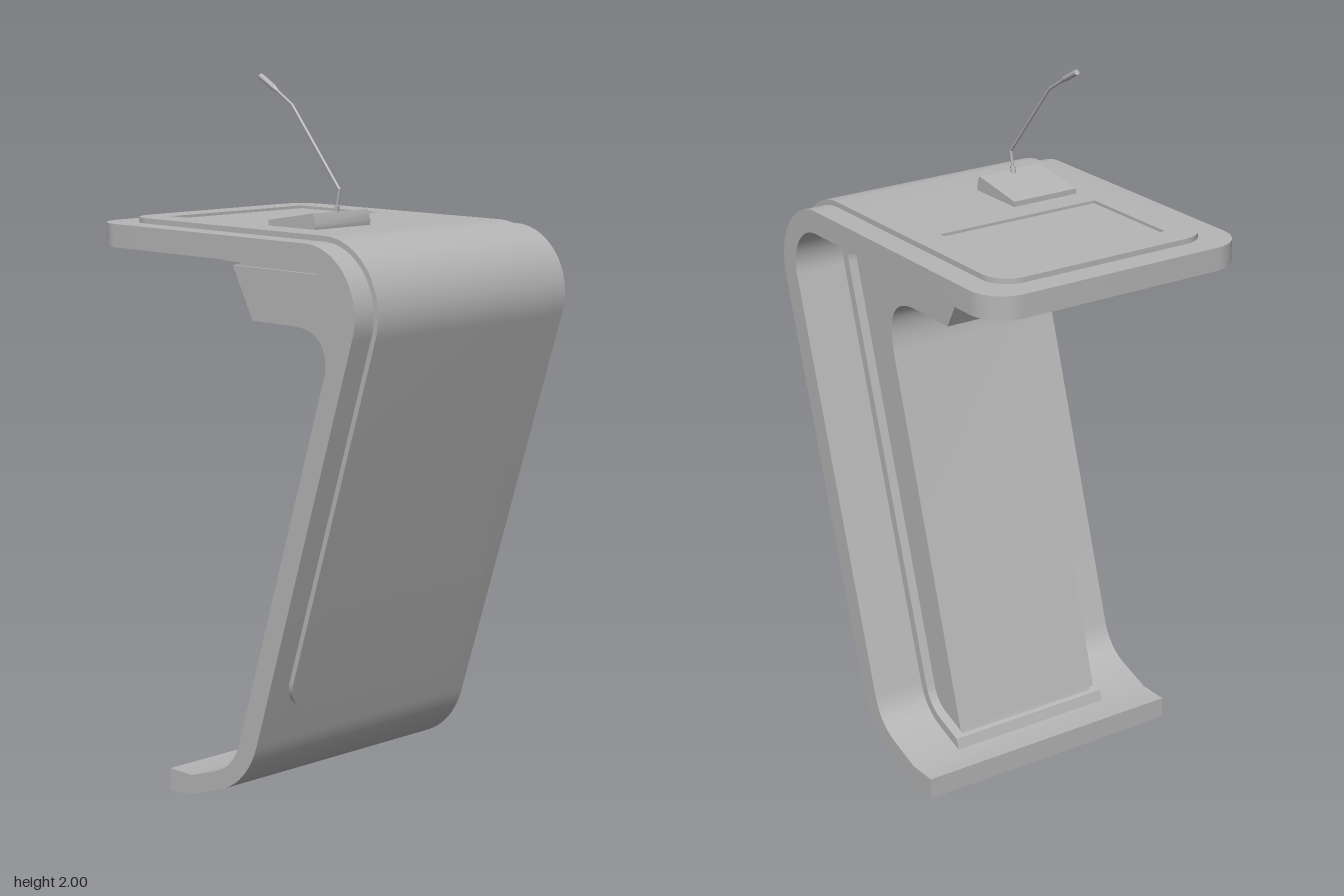
import * as THREE from 'three';
import { toCreasedNormals } from 'three/addons/utils/BufferGeometryUtils.js';

// Centre of the top bend and lean of the back; all layers are concentric
const C = { x: 0.33, y: 1.405 };
const LEAN = Math.atan(0.317);
const N = { x: Math.cos(LEAN), y: -Math.sin(LEAN) };
const V = (x, y) => new THREE.Vector2(x, y);

// Point on the sloped back line that is tangent to the bend of radius r
const onBack = (r, y) => V((r + N.x * C.x + N.y * C.y - N.y * y) / N.x, y);

// Rounded top bend of radius r, starting at xTop
function topBend(r, xTop) {
  const pts = [V(xTop, C.y + r)];
  for (let i = 0; i <= 20; i++) {
    const a = Math.PI / 2 - (i / 20) * (Math.PI / 2 + LEAN);
    pts.push(V(C.x + r * Math.cos(a), C.y + r * Math.sin(a)));
  }
  return pts;
}

// Full side line: desk, bend, sloped back, lower bend, rising foot line y = b + x / 3
function sideLine(r, b, fillet, xTop, xFoot) {
  const a = onBack(r, 0).x;
  const y = (b + a / 3) / (1 - 0.317 / 3);
  const corner = onBack(r, y);
  const up = V(-N.y, N.x).multiplyScalar(fillet).add(corner);
  const down = V(-3, -1).normalize().multiplyScalar(fillet).add(corner);
  const curve = new THREE.QuadraticBezierCurve(up, corner, down);
  return [...topBend(r, xTop), ...curve.getPoints(14), V(xFoot, b + xFoot / 3)];
}

// Rectangle with its two corners on the first-axis minimum rounded
function roundedEnd(x0, x1, hw, r) {
  const s = new THREE.Shape();
  s.moveTo(x1, -hw);
  s.lineTo(x1, hw);
  s.lineTo(x0 + r, hw);
  s.absarc(x0 + r, hw - r, r, Math.PI / 2, Math.PI, false);
  s.absarc(x0 + r, -hw + r, r, Math.PI, Math.PI * 1.5, false);
  s.closePath();
  return s;
}

const extrude = (shape, depth) => toCreasedNormals(
  new THREE.ExtrudeGeometry(shape, { depth, bevelEnabled: false, curveSegments: 12 }), 0.5);

export function createModel() {
  const group = new THREE.Group();
  const grey = new THREE.MeshStandardMaterial({ color: 0xb5b5b5 });
  grey.name = 'grey';

  const add = (name, geometry, parent = group) => {
    const m = new THREE.Mesh(geometry, grey);
    m.name = name;
    parent.add(m);
    return m;
  };
  const profile = (name, pts, hw, parent) =>
    add(name, extrude(new THREE.Shape(pts), hw * 2).translate(0, 0, -hw), parent);
  const plan = (name, shape, y, h, parent) =>
    add(name, extrude(shape, h).rotateX(-Math.PI / 2).translate(0, y, 0), parent);

  // Shell: desk, back and foot in one bent board
  const shell = new THREE.Group();
  shell.name = 'shell';
  group.add(shell);
  profile('bentBoard', [
    ...sideLine(0.18, 0.05, 0.13, -0.2, -0.15),
    V(-0.22, 0), V(-0.22, 0.062),
    ...sideLine(0.115, 0.105, 0.08, -0.2, -0.13).reverse(),
  ], 0.41, shell);
  plan('deskEnd', roundedEnd(-0.53, -0.2, 0.41, 0.1), 1.52, 0.065, shell);

  // Raised cover over the desk and back
  const cover = new THREE.Group();
  cover.name = 'cover';
  group.add(cover);
  const top = roundedEnd(-0.46, 0.25, 0.34, 0.08);
  top.holes.push(new THREE.Path([
    V(-0.378, -0.25), V(-0.378, 0.257), V(-0.062, 0.257), V(-0.062, -0.25)]));
  plan('coverTop', top, 1.585, 0.015, cover);
  plan('deskRecess', new THREE.Shape([
    V(-0.378, -0.25), V(-0.062, -0.25), V(-0.062, 0.257), V(-0.378, 0.257)]), 1.585, 0.007, cover);
  const seamY = 0.486;
  const inner = onBack(0.18, seamY);
  profile('coverBend', [
    ...topBend(0.195, 0.25),
    V(inner.x + 0.015 * N.x, inner.y + 0.015 * N.y), inner,
    ...topBend(0.18, 0.25).reverse(),
  ], 0.34, cover);
  const low = onBack(0.18, 0.295);
  const len = (seamY - 0.295) / N.x;
  const backEnd = extrude(roundedEnd(0, len, 0.34, 0.09), 0.015);
  backEnd.applyMatrix4(new THREE.Matrix4().makeBasis(
    new THREE.Vector3(-N.y, N.x, 0),
    new THREE.Vector3(0, 0, 1),
    new THREE.Vector3(N.x, N.y, 0)).setPosition(low.x, low.y, 0));
  add('coverLowerEnd', backEnd, cover);

  // Column inside the bend, with a flange and shadow gap against the shell
  profile('columnFlange', [
    ...sideLine(0.115, 0.105, 0.08, -0.16, -0.128),
    ...sideLine(0.088, 0.132, 0.06, -0.146, -0.118).reverse(),
  ], 0.255);
  profile('columnGap', [
    ...sideLine(0.088, 0.132, 0.06, -0.125, -0.106),
    ...sideLine(0.075, 0.146, 0.05, -0.12, -0.1).reverse(),
  ], 0.225);
  const throat = new THREE.QuadraticBezierCurve(V(0.215, 1.165), V(0.262, 1.333), V(0.1, 1.333));
  profile('column', [
    ...sideLine(0.075, 0.146, 0.05, -0.139, -0.11),
    V(-0.103, 0.132),
    ...throat.getPoints(16),
    V(-0.06, 1.333),
  ], 0.235);

  // Microphone on its wedge base
  const mic = new THREE.Group();
  mic.name = 'microphone';
  mic.position.z = 0.14;
  group.add(mic);
  profile('microphoneBase', [
    V(0.015, 1.6), V(0.195, 1.6), V(0.197, 1.612), V(0.187, 1.643), V(0.015, 1.615)], 0.104, mic);
  const rod = (name, x0, y0, x1, y1, r0, r1) => {
    const d = new THREE.Vector3(x1 - x0, y1 - y0, 0);
    const m = add(name, new THREE.CylinderGeometry(r1, r0, d.length(), 12), mic);
    m.position.set((x0 + x1) / 2, (y0 + y1) / 2, 0);
    m.quaternion.setFromUnitVectors(new THREE.Vector3(0, 1, 0), d.normalize());
  };
  rod('stemSocket', 0.168, 1.63, 0.174, 1.658, 0.008, 0.007);
  rod('lowerStem', 0.17, 1.64, 0.183, 1.703, 0.004, 0.004);
  rod('middleStem', 0.183, 1.7, 0, 1.92, 0.004, 0.004);
  rod('upperStem', 0.001, 1.919, -0.062, 1.958, 0.004, 0.004);
  rod('capsuleNeck', -0.058, 1.955, -0.075, 1.966, 0.005, 0.008);
  rod('capsule', -0.075, 1.966, -0.125, 1.994, 0.008, 0.008);

  return group;
}
